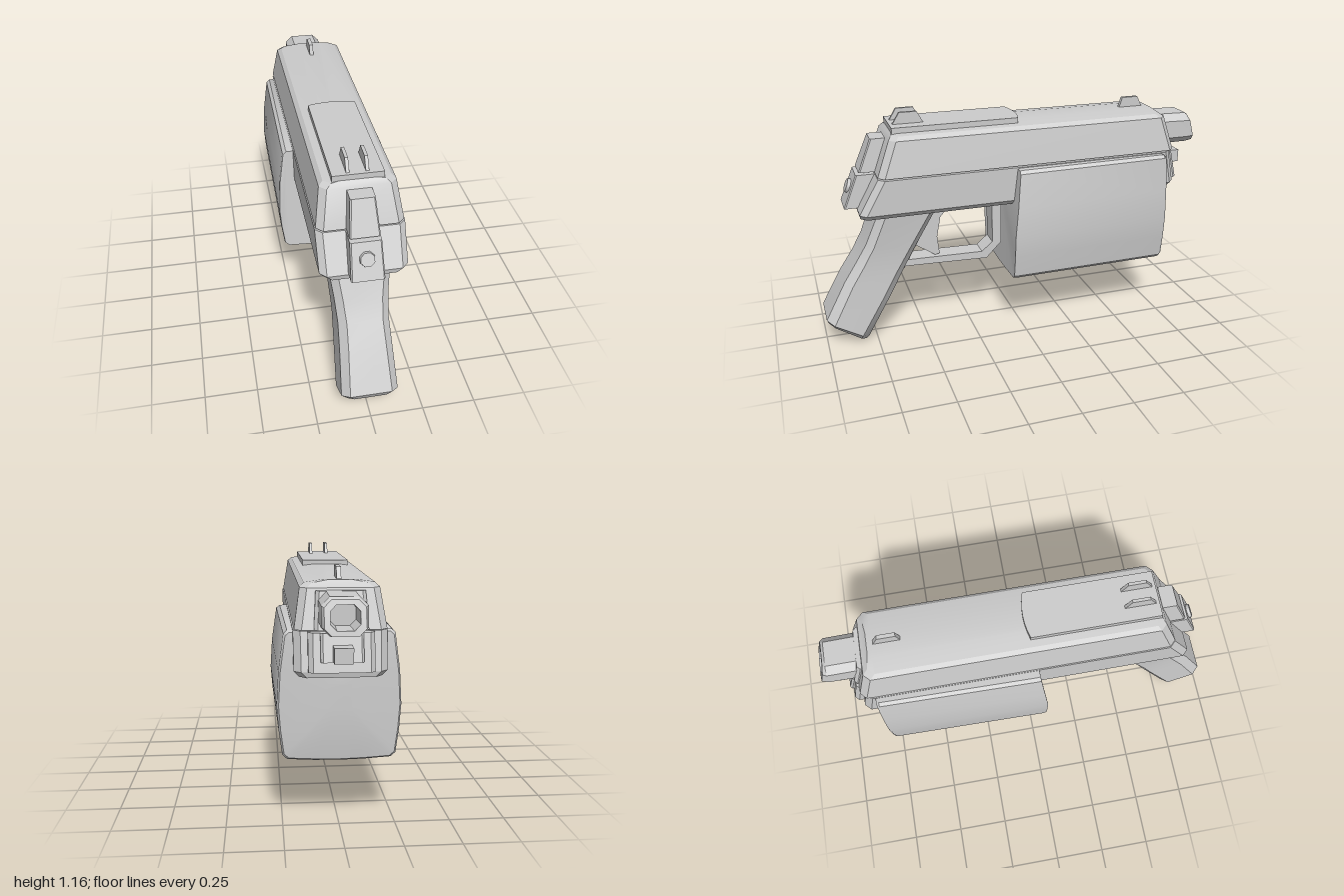
import * as THREE from 'three';
import { toCreasedNormals } from 'three/addons/utils/BufferGeometryUtils.js';

const gray = new THREE.MeshStandardMaterial({ color: 0xcccccc });
gray.name = 'plain gray';

// Skin a list of equal-length rings and cap both ends.
function loft(rings, crease = 0.5) {
  const n = rings[0].length, index = [];
  for (let r = 0; r < rings.length - 1; r++) {
    for (let i = 0; i < n; i++) {
      const a = r * n + i, b = r * n + (i + 1) % n;
      index.push(a, b, b + n, a, b + n, a + n);
    }
  }
  const last = (rings.length - 1) * n;
  for (let i = 1; i < n - 1; i++) {
    index.push(0, i + 1, i, last, last + i, last + i + 1);
  }
  const geo = new THREE.BufferGeometry();
  geo.setAttribute('position', new THREE.Float32BufferAttribute(rings.flat(2), 3));
  geo.setIndex(index);
  return toCreasedNormals(geo.toNonIndexed(), crease);
}

// Chamfered rectangle lying flat or tilted: rear edge (yB, zB), muzzle-side edge (yF, zF).
function level(yB, zB, yF, zF, w, c) {
  return [[c - w, zB], [w - c, zB], [w, zB - c], [w, zF + c],
    [w - c, zF], [c - w, zF], [-w, zF + c], [-w, zB - c]]
    .map(([x, z]) => [x, yF + (yB - yF) * (z - zF) / (zB - zF), z]);
}
const flat = (y, zB, zF, w, c) => level(y, zB, y, zF, w, c);

// Chamfered upright rectangle; lean moves its top edge along z.
function upright(z, y0, y1, w, c, lean = 0) {
  return [[c - w, y1], [w - c, y1], [w, y1 - c], [w, y0 + c],
    [w - c, y0], [c - w, y0], [-w, y0 + c], [-w, y1 - c]]
    .map(([x, y]) => [x, y, z + lean * (y - y0) / (y1 - y0)]);
}

// Side profile of [z, y] points given a width across x.
function profile(points, width, x = 0) {
  const shape = new THREE.Shape(points.map(([z, y]) => new THREE.Vector2(z, y)));
  const geo = new THREE.ExtrudeGeometry(shape, { depth: width, bevelEnabled: false });
  return geo.translate(0, 0, -width / 2).rotateY(-Math.PI / 2).translate(x, 0, 0);
}

export function createModel() {
  const group = new THREE.Group();
  const add = (name, geo) => {
    const mesh = new THREE.Mesh(geo, gray);
    mesh.name = name;
    group.add(mesh);
    return mesh;
  };

  // Upper and lower body
  add('slide', loft([
    flat(0.89, 0.71, -0.825, 0.196, 0.03),
    flat(1.06, 0.645, -0.775, 0.17, 0.03),
    flat(1.078, 0.63, -0.75, 0.15, 0.03),
    flat(1.09, 0.62, -0.74, 0.07, 0.02),
  ], 0.4));
  add('frame', loft([
    flat(0.69, 0.8, -0.83, 0.175, 0.03),
    flat(0.715, 0.805, -0.835, 0.198, 0.03),
    flat(0.884, 0.71, -0.8, 0.2, 0.03),
  ], 0.4));

  // Top cover with a bowed end
  const cover = new THREE.Shape();
  cover.moveTo(-0.115, -0.625);
  cover.lineTo(0.115, -0.625);
  cover.lineTo(0.115, -0.005);
  cover.quadraticCurveTo(0, 0.03, -0.115, -0.005);
  add('topCover', new THREE.ExtrudeGeometry(cover, { depth: 0.05, bevelEnabled: false, curveSegments: 6 })
    .rotateX(-Math.PI / 2).translate(0, 1.06, 0));

  // Sights
  for (const x of [-0.043, 0.043]) {
    add('rearSight', profile([[0.615, 1.1], [0.455, 1.1], [0.49, 1.165], [0.575, 1.165]], 0.015, x));
  }
  add('frontSight', profile([[-0.58, 1.08], [-0.715, 1.08], [-0.685, 1.14], [-0.6, 1.14]], 0.02));

  // Plates on the rear face
  add('upperRearPlate', loft([
    flat(0.892, 0.785, 0.66, 0.068, 0.006), flat(1.05, 0.72, 0.6, 0.055, 0.006),
  ]));
  add('lowerRearPlate', loft([
    flat(0.72, 0.866, 0.7, 0.075, 0.006), flat(0.882, 0.8, 0.65, 0.07, 0.006),
  ]));
  const button = add('rearButton', new THREE.CylinderGeometry(0.033, 0.038, 0.03, 8)
    .rotateY(Math.PI / 8).rotateX(Math.PI / 2));
  button.position.set(0, 0.812, 0.829);
  button.rotation.x = -0.38;

  // Stepped plates on the muzzle face
  add('upperMuzzlePlate', loft([
    flat(0.892, -0.7, -0.845, 0.115, 0.015), flat(1.05, -0.68, -0.8, 0.105, 0.015),
  ]));
  add('lowerMuzzlePlate', loft([
    flat(0.72, -0.7, -0.878, 0.14, 0.02), flat(0.882, -0.7, -0.84, 0.14, 0.02),
  ]));
  add('innerMuzzlePlate', loft([
    flat(0.765, -0.7, -0.888, 0.09, 0.01), flat(0.882, -0.7, -0.855, 0.09, 0.01),
  ]));
  add('guideRod', new THREE.BoxGeometry(0.08, 0.065, 0.12).translate(0, 0.802, -0.876));

  // Hollow barrel with a slanted mouth
  add('barrel', loft([
    upright(-0.75, 0.888, 1.05, 0.096, 0.035),
    upright(-0.96, 0.888, 1.045, 0.095, 0.035, 0.015),
    upright(-0.999, 0.893, 1.035, 0.084, 0.03, 0.04),
    upright(-0.995, 0.915, 1.015, 0.06, 0.025, 0.03),
    upright(-0.86, 0.915, 1.015, 0.055, 0.025),
  ]));

  // Large housing below the barrel, bulging at the sides and front
  const section = [[-0.235, 0.88], [0, 0.882], [0.235, 0.88], [0.252, 0.865], [0.276, 0.7], [0.285, 0.55],
    [0.277, 0.44], [0.262, 0.33], [0.24, 0.31], [0.12, 0.303], [0, 0.3], [-0.12, 0.303], [-0.24, 0.31],
    [-0.262, 0.33], [-0.277, 0.44], [-0.285, 0.55], [-0.276, 0.7], [-0.252, 0.865]];
  const housingRing = (z, sx, sy, slope = 0) => section.map(([x, y]) =>
    [x * sx, 0.59 + (y - 0.59) * sy, z - slope * Math.max(0, y - 0.55)]);
  add('housing', loft([
    housingRing(0.07, 0.99, 0.99, 0.11),
    housingRing(0.055, 1, 1, 0.11),
    housingRing(-0.745, 0.95, 1),
    housingRing(-0.758, 0.92, 0.97),
    housingRing(-0.774, 0.55, 0.6),
    housingRing(-0.778, 0.2, 0.2),
  ], 0.6));

  // Grip, waisted in the middle and flared at the foot
  add('grip', loft([
    level(0.118, 0.985, 0.003, 0.81, 0.1, 0.025),
    level(0.15, 0.998, 0.03, 0.795, 0.132, 0.035),
    level(0.34, 0.895, 0.24, 0.67, 0.122, 0.035),
    level(0.44, 0.83, 0.36, 0.605, 0.118, 0.035),
    level(0.53, 0.778, 0.49, 0.535, 0.125, 0.035),
    level(0.7, 0.71, 0.7, 0.42, 0.147, 0.035),
  ], 0.6));
  add('gripStrap', profile([[0.403, 0.7], [0.59, 0.36], [0.64, 0.36], [0.48, 0.7]], 0.11));

  // Trigger and its guard
  add('trigger', profile([[0.46, 0.675], [0.34, 0.675], [0.345, 0.655], [0.39, 0.605], [0.41, 0.5],
    [0.4, 0.405], [0.425, 0.4], [0.57, 0.5]], 0.06));
  add('triggerGuard', profile([[0.61, 0.368], [0.155, 0.352], [0.075, 0.435], [0.075, 0.7],
    [0.123, 0.7], [0.123, 0.44], [0.18, 0.392], [0.61, 0.402]], 0.1));

  return group;
}
